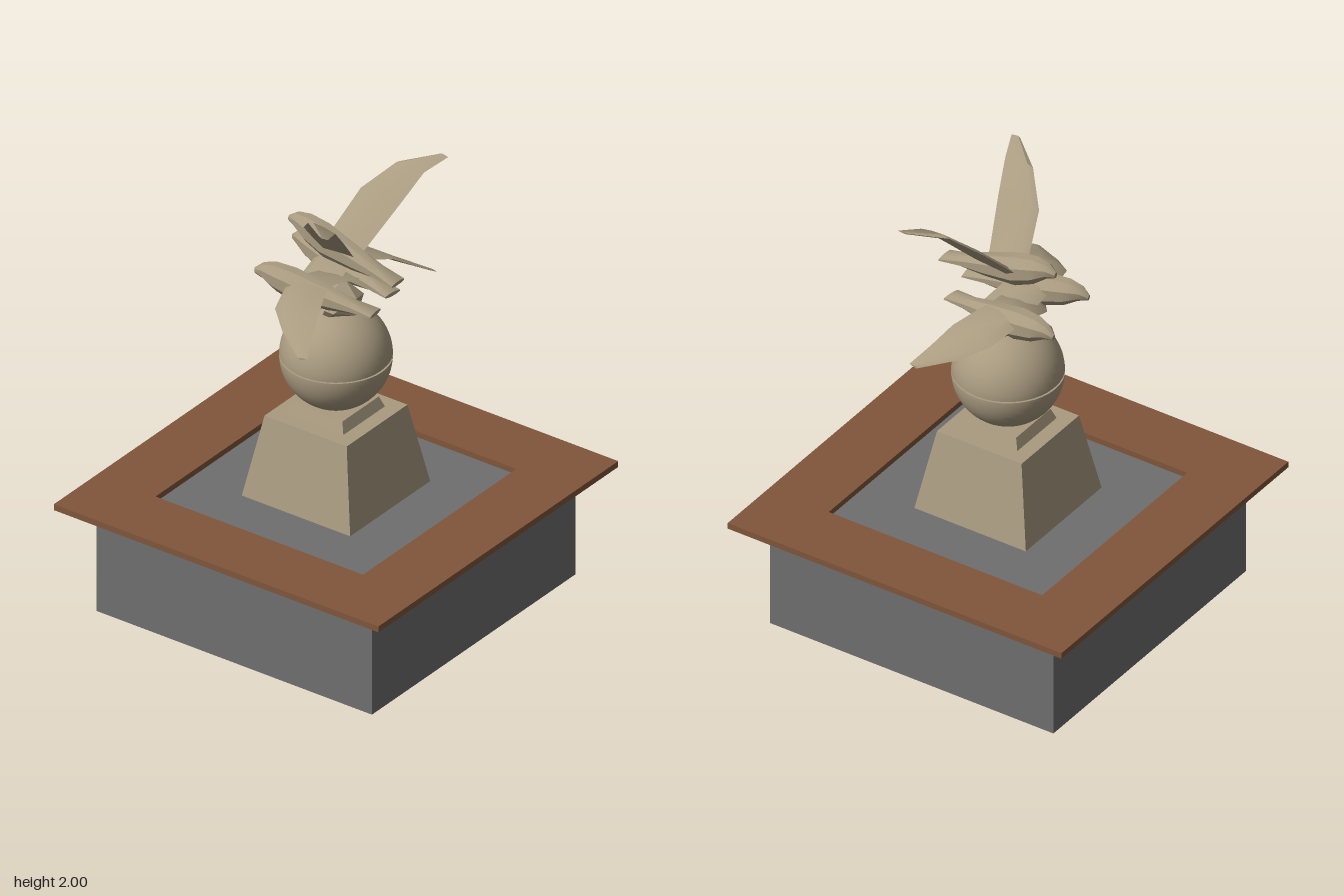
import * as THREE from 'three';
import { toCreasedNormals } from 'three/addons/utils/BufferGeometryUtils.js';

const mat = (name, color) => {
  const m = new THREE.MeshStandardMaterial({ color });
  m.name = name;
  return m;
};

// Skin between closed loops of [x, y, z] points, capped at both ends.
// Each loop runs counter-clockwise as seen from the starting end.
function loft(loops, crease) {
  const n = loops[0].length, index = [];
  for (let i = 0; i < loops.length - 1; i++) {
    for (let j = 0; j < n; j++) {
      const a = i * n + j, b = i * n + (j + 1) % n, c = a + n, d = b + n;
      index.push(a, c, b, b, c, d);
    }
  }
  const last = (loops.length - 1) * n;
  for (let j = 1; j < n - 1; j++) {
    index.push(0, j, j + 1, last, last + j + 1, last + j);
  }
  const g = new THREE.BufferGeometry();
  g.setAttribute('position', new THREE.Float32BufferAttribute(loops.flat(2), 3));
  g.setIndex(index);
  return toCreasedNormals(g, crease);
}

// Square block tapering from half-width b at y0 to half-width t at y1
function taperedBlock(b, t, y0, y1) {
  const g = new THREE.CylinderGeometry(t * Math.SQRT2, b * Math.SQRT2, y1 - y0, 4);
  g.rotateY(Math.PI / 4).translate(0, (y0 + y1) / 2, 0);
  return toCreasedNormals(g, 0.3);
}

// Body stations from tail to beak: z, centre y, half-width, half-height
const BODY = [
  [0.32, -0.075, 0.044, 0.008],
  [0.22, -0.056, 0.038, 0.026],
  [0.10, -0.032, 0.045, 0.052],
  [-0.05, 0.002, 0.055, 0.072],
  [-0.14, 0.03, 0.046, 0.06],
  [-0.20, 0.05, 0.03, 0.033],
  [-0.24, 0.044, 0.009, 0.013],
];

function bodyGeometry() {
  return loft(BODY.map(([z, y, w, h]) => Array.from({ length: 8 }, (_, k) => {
    const a = (k + 0.5) * Math.PI / 4;
    return [Math.cos(a) * w * 1.06, y + Math.sin(a) * h * 1.06, z];
  })), 0.6);
}

// Wing stations from root to tip: span, leading z, trailing z, half-thickness
const WING = [
  [0.0, -0.07, 0.11, 0.02],
  [0.05, -0.065, 0.125, 0.02],
  [0.20, -0.02, 0.185, 0.016],
  [0.31, 0.085, 0.225, 0.011],
  [0.42, 0.225, 0.268, 0.005],
];

function wingGeometry(side, heights, spanScale, sweep) {
  return loft(WING.map(([x, lead, trail, h], i) => {
    const y = heights[i], shift = sweep * x / 0.42;
    const at = (t, dy) => [side * x * spanScale, y + dy, trail + (lead - trail) * t + shift];
    const loop = [at(0, -h * 0.3), at(0.4, h * 0.7), at(0.8, h), at(1, 0), at(0.8, -h), at(0.4, -h * 0.6)];
    return side > 0 ? loop : loop.reverse();
  }), 0.6);
}

function makeBird(name, material, heights, spanScale = 1, sweep = 0) {
  const bird = new THREE.Group();
  bird.name = name;
  const add = (part, g) => {
    const m = new THREE.Mesh(g, material);
    m.name = part;
    bird.add(m);
  };
  add('birdBody', bodyGeometry());
  add('leftWing', wingGeometry(1, heights, spanScale, sweep));
  add('rightWing', wingGeometry(-1, heights, spanScale, sweep));
  return bird;
}

export function createModel() {
  const model = new THREE.Group();
  model.name = 'birdMonument';
  const stone = mat('tanStone', 0xa99b80);
  const grey = mat('greyConcrete', 0x6f6f6f);
  const wood = mat('brownWood', 0x80563b);
  const add = (name, geometry, material) => {
    const m = new THREE.Mesh(geometry, material);
    m.name = name;
    model.add(m);
    return m;
  };

  // Planter base
  add('base', new THREE.BoxGeometry(1.42, 0.503, 1.42).translate(0, 0.2515, 0), grey);

  // Wooden bench frame with a square opening
  const square = (C, r) => new C([[-r, -r], [r, -r], [r, r], [-r, r]].map(p => new THREE.Vector2(...p)));
  const outline = square(THREE.Shape, 0.837);
  outline.holes.push(square(THREE.Path, 0.535));
  const frame = new THREE.ExtrudeGeometry(outline, { depth: 0.028, bevelEnabled: false });
  add('benchFrame', frame.rotateX(-Math.PI / 2).translate(0, 0.502, 0), wood);

  // Pedestal and its step
  add('pedestal', taperedBlock(0.28, 0.212, 0.5, 0.88), stone);
  add('pedestalStep', taperedBlock(0.145, 0.127, 0.88, 0.93), stone);

  // Globe with a groove round its middle
  const R = 0.237, profile = [];
  const arc = (from, to) => {
    for (let i = 0; i <= 14; i++) {
      const a = from + (to - from) * i / 14;
      profile.push(new THREE.Vector2(Math.max(0, Math.cos(a) * R), Math.sin(a) * R));
    }
  };
  arc(-Math.PI / 2, -0.025);
  profile.push(new THREE.Vector2(R - 0.01, -0.006), new THREE.Vector2(R - 0.01, 0.006));
  arc(0.025, Math.PI / 2);
  const globe = toCreasedNormals(new THREE.LatheGeometry(profile, 40), 0.6);
  add('globe', globe.translate(0, 1.152, 0), stone);

  // Faceted rock beneath the birds
  const rock = new THREE.IcosahedronGeometry(0.125, 0);
  rock.scale(1, 0.6, 1).translate(0, 1.415, 0);
  add('rock', toCreasedNormals(rock, 0.1), stone);

  // Upper bird with raised wings
  const upper = makeBird('upperBird', stone, [-0.03, 0.015, 0.17, 0.28, 0.315]);
  upper.position.set(0, 1.68, 0);
  model.add(upper);

  // Two lower birds with drooping wings
  const left = makeBird('lowerLeftBird', stone, [0.02, 0.015, -0.03, -0.1, -0.165], 0.9, -0.07);
  left.position.set(0.12, 1.518, -0.09);
  left.rotation.set(-0.13, -0.13, 0);
  model.add(left);

  const right = makeBird('lowerRightBird', stone, [0.02, 0.015, -0.02, -0.07, -0.125], 0.9, -0.07);
  right.position.set(-0.137, 1.52, -0.05);
  right.rotation.set(-0.13, 0.13, 0);
  model.add(right);

  return model;
}
